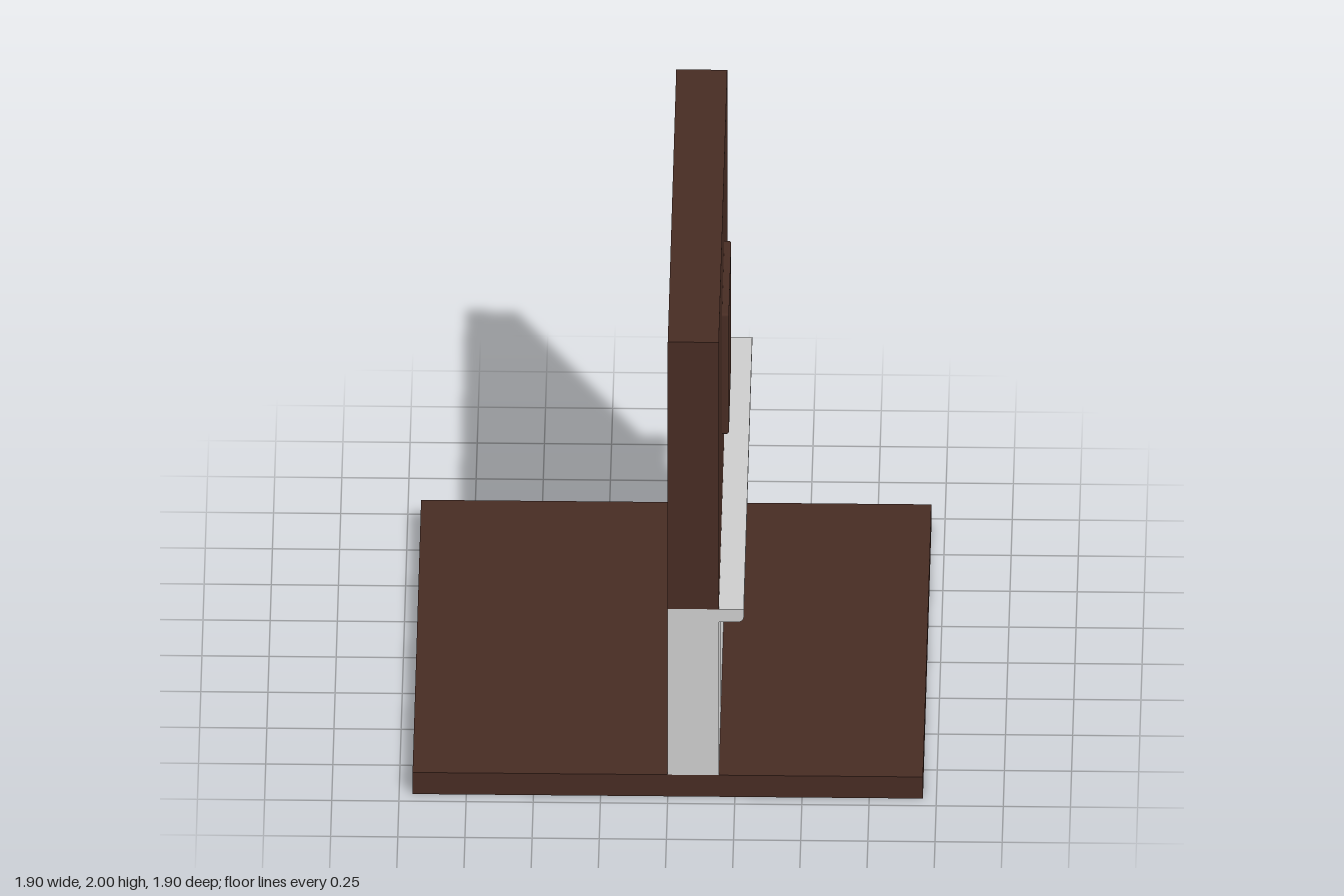
import * as THREE from 'three';
import { toCreasedNormals } from 'three/addons/utils/BufferGeometryUtils.js';
import { RoundedBoxGeometry } from 'three/addons/geometries/RoundedBoxGeometry.js';

const HALF = 0.95;      // half width of floor and wall
const FLOOR = 0.095;    // floor thickness
const WALL = 0.19;      // wall thickness
const RAIL_BOTTOM = 0.77;
const RAIL_TOP = 0.825;

// Corners of a rectangle facing +x, anticlockwise
function rect(x, y0, y1, zFront, zBack) {
  return [[x, y0, zFront], [x, y0, zBack], [x, y1, zBack], [x, y1, zFront]];
}

// Lower wall: a block whose +x face is a row of sunken, bevelled panels
function wainscotGeometry() {
  const pos = [];
  const quad = (a, b, c, d) => pos.push(...a, ...b, ...c, ...a, ...c, ...d);
  const bevel = 0.055, depth = 0.025;
  const splits = [HALF, 0.48, -0.5, -HALF];

  for (let p = 0; p < splits.length - 1; p++) {
    const z0 = splits[p], z1 = splits[p + 1];
    const outer = rect(WALL, FLOOR, RAIL_BOTTOM, z0, z1);
    const inner = rect(WALL - depth, FLOOR + bevel, RAIL_BOTTOM - bevel, z0 - bevel, z1 + bevel);
    quad(...inner);
    for (let i = 0; i < 4; i++) {
      const j = (i + 1) % 4;
      quad(outer[i], outer[j], inner[j], inner[i]);
    }
  }

  // Ends, top, bottom and back
  const front = rect(WALL, FLOOR, RAIL_BOTTOM, HALF, -HALF);
  const back = rect(0, FLOOR, RAIL_BOTTOM, HALF, -HALF);
  for (let i = 0; i < 4; i++) {
    const j = (i + 1) % 4;
    quad(front[j], front[i], back[i], back[j]);
  }
  quad(back[3], back[2], back[1], back[0]);

  const geo = new THREE.BufferGeometry();
  geo.setAttribute('position', new THREE.Float32BufferAttribute(pos, 3));
  geo.computeVertexNormals();
  return geo;
}

// Chair rail: band across the wall with a lip rounded underneath
function railGeometry() {
  const edge = 0.283, r = 0.022;
  const s = new THREE.Shape();
  s.moveTo(0, RAIL_BOTTOM);
  s.lineTo(edge - r, RAIL_BOTTOM);
  s.absarc(edge - r, RAIL_BOTTOM + r, r, -Math.PI / 2, 0, false);
  s.lineTo(edge, RAIL_TOP);
  s.lineTo(0, RAIL_TOP);
  s.closePath();
  const geo = new THREE.ExtrudeGeometry(s, { depth: HALF * 2, bevelEnabled: false, curveSegments: 8 });
  geo.translate(0, 0, -HALF);
  return toCreasedNormals(geo, 0.6);
}

export function createModel() {
  const brown = new THREE.MeshStandardMaterial({ color: 0x472c23 });
  brown.name = 'dark brown';
  const white = new THREE.MeshStandardMaterial({ color: 0xcccccc });
  white.name = 'off white';

  const model = new THREE.Group();
  model.name = 'wallSection';
  const add = (name, geo, mat, x = 0, y = 0, z = 0) => {
    const mesh = new THREE.Mesh(geo, mat);
    mesh.name = name;
    mesh.position.set(x, y, z);
    model.add(mesh);
  };

  add('floor', new THREE.BoxGeometry(HALF * 2, FLOOR, HALF * 2), brown, 0, FLOOR / 2, 0);
  add('wainscot', wainscotGeometry(), white);
  add('chairRail', railGeometry(), white);

  const upperHeight = 2 - RAIL_TOP;
  add('upperWall', new THREE.BoxGeometry(WALL, upperHeight, HALF * 2), brown,
    WALL / 2, RAIL_TOP + upperHeight / 2, 0);

  // Picture panel, partly sunk into the wall
  add('picturePanel', new RoundedBoxGeometry(0.06, 0.53, 0.52, 3, 0.01), brown, 0.186, 1.415, -0.012);

  return model;
}
